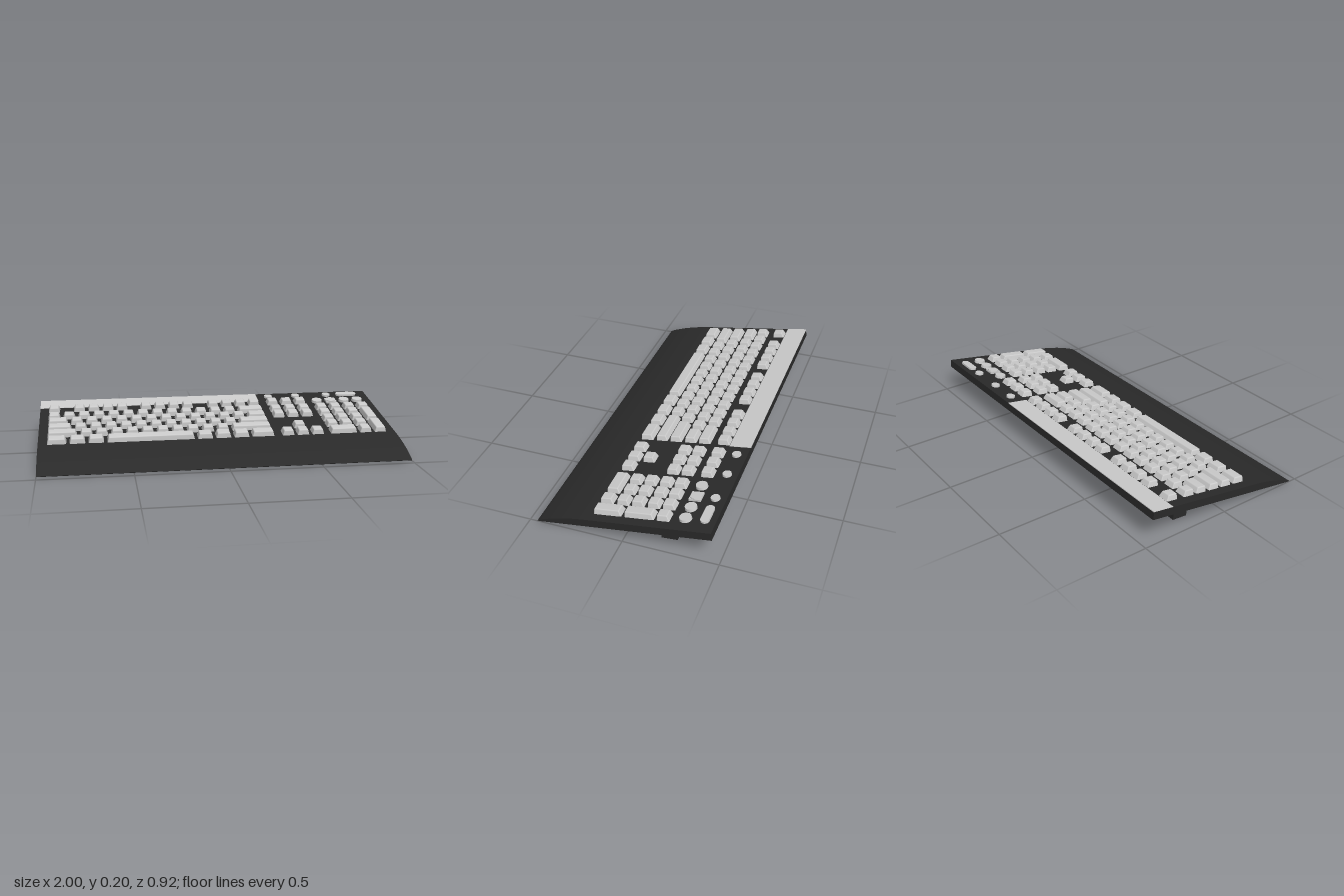
import * as THREE from 'three';
import { RoundedBoxGeometry } from 'three/addons/geometries/RoundedBoxGeometry.js';
import { mergeVertices } from 'three/addons/utils/BufferGeometryUtils.js';

const PITCH = 0.085, GAP = 0.014, KEY_H = 0.029;
const SLOPE = Math.atan(0.159);
const keyMat = new THREE.MeshStandardMaterial({ color: 0xcccccc });
const bodyMat = new THREE.MeshStandardMaterial({ color: 0x2a2a2a });

// Far and near z edges of the six key rows
const ROWS = [[-0.343, -0.272], [-0.236, -0.165], [-0.155, -0.085], [-0.071, 0], [0.011, 0.081], [0.096, 0.171]];

function add(parent, name, geometry, material, x = 0, y = 0, z = 0) {
  const mesh = new THREE.Mesh(geometry, material);
  mesh.name = name;
  mesh.position.set(x, y, z);
  parent.add(mesh);
  return mesh;
}

// Keycap: rounded box narrowed towards its top, most of all at the back
function keycapGeometry(w, d) {
  const box = new RoundedBoxGeometry(w, KEY_H + 0.008, d, 2, 0.006);
  box.deleteAttribute('uv');
  box.deleteAttribute('normal');
  const geo = mergeVertices(box, 1e-5);
  const p = geo.attributes.position;
  for (let i = 0; i < p.count; i++) {
    const t = p.getY(i) / (KEY_H + 0.008) + 0.5;
    const z = p.getZ(i);
    p.setX(i, p.getX(i) * (1 - t * 0.02 / w));
    p.setZ(i, z + t * (z > 0 ? -0.005 : 0.015) * Math.abs(2 * z / d));
  }
  geo.computeVertexNormals();
  return geo;
}

function addKey(parent, name, x0, x1, z0, z1) {
  add(parent, name, keycapGeometry(x1 - x0, z1 - z0), keyMat,
    (x0 + x1) / 2, KEY_H / 2 - 0.004, (z0 + z1) / 2);
}

// A run of keys, with widths given in key pitches
function addRun(parent, name, start, row, widths, pitch = PITCH) {
  let x = start;
  for (const w of widths) {
    addKey(parent, name, x, x + w * pitch - GAP, ...ROWS[row]);
    x += w * pitch;
  }
}

const ones = (n) => Array(n).fill(1);

export function createModel() {
  const model = new THREE.Group();
  model.name = 'keyboard';

  // Wedge body with a curved palm rest at the front
  const profile = new THREE.Shape();
  profile.moveTo(0.455, 0.001);
  profile.lineTo(0.46, 0.004);
  profile.splineThru([[0.45, 0.011], [0.42, 0.024], [0.35, 0.049], [0.262, 0.072], [0.18, 0.087]]
    .map(([z, y]) => new THREE.Vector2(z, y)));
  profile.lineTo(-0.455, 0.188);
  profile.lineTo(-0.46, 0.145);
  const body = new THREE.ExtrudeGeometry(profile, { depth: 2, bevelEnabled: false, curveSegments: 4 });
  body.translate(0, 0, -1).rotateY(-Math.PI / 2);
  add(model, 'body', body, bodyMat);

  // Tilt feet
  for (const side of [-1, 1]) {
    const foot = add(model, 'foot', new THREE.BoxGeometry(0.06, 0.115, 0.085), bodyMat, side * 0.88, 0.061, -0.211);
    foot.rotation.x = 0.085;
  }

  // Everything on the sloping deck shares one tilted frame
  const deck = new THREE.Group();
  deck.name = 'deck';
  deck.position.y = 0.1156;
  deck.rotation.x = SLOPE;
  model.add(deck);

  add(deck, 'backPanel', new THREE.BoxGeometry(1.308, 0.004, 0.118), keyMat, -0.346, 0, -0.402);

  // Main block
  const main = new THREE.Group();
  main.name = 'mainKeys';
  deck.add(main);
  addRun(main, 'functionKey', -0.952, 0, [1], 0.083);
  for (const x of [-0.807, -0.417, -0.016]) addRun(main, 'functionKey', x, 0, ones(4), 0.083);
  [
    [...ones(13), 1.94],
    [1.5, ...ones(12), 1.44],
    [1.75, ...ones(11), 2.19],
    [2.1, ...ones(10), 2.84],
    [1.42, 1.2, 1.2, 5.85, 1.2, 1.2, 1.2, 1.67],
  ].forEach((widths, i) => addRun(main, 'mainKey', -0.952, i + 1, widths));

  // Navigation block and arrows
  const nav = new THREE.Group();
  nav.name = 'navigationKeys';
  deck.add(nav);
  for (const row of [0, 1, 2, 5]) addRun(nav, 'navigationKey', 0.348, row, ones(3));
  addRun(nav, 'upArrowKey', 0.348 + PITCH, 4, [1]);

  // Number pad, with two tall keys at its right edge
  const pad = new THREE.Group();
  pad.name = 'numberPad';
  deck.add(pad);
  const padX = 0.626, tallX = padX + 3 * PITCH;
  [ones(4), ones(3), ones(3), ones(3), [2, 1]]
    .forEach((widths, i) => addRun(pad, 'numberKey', padX, i + 1, widths));
  addKey(pad, 'tallKey', tallX, tallX + PITCH - GAP, ROWS[2][0], ROWS[3][1] + 0.006);
  addKey(pad, 'tallKey', tallX, tallX + PITCH - GAP, ROWS[4][0] + 0.007, ROWS[5][1]);

  // Round buttons above the number pad, the second on a square base
  const buttons = new THREE.Group();
  buttons.name = 'mediaButtons';
  deck.add(buttons);
  const round = (r, h) => new THREE.CylinderGeometry(r * 0.94, r, h, 32);
  [0.663, 0.749, 0.833, 0.915].forEach((x) => add(buttons, 'roundButton', round(0.032, 0.016), keyMat, x, 0.007, -0.306));
  add(buttons, 'squareBase', new THREE.BoxGeometry(0.064, 0.012, 0.064), keyMat, 0.749, 0.005, -0.306);

  // Small buttons and the pill-shaped one along the back edge
  for (const x of [0.379, 0.55, 0.745]) add(buttons, 'smallButton', round(0.025, 0.012), keyMat, x, 0.005, -0.404);
  const pill = new THREE.Shape();
  pill.absarc(0.041, 0, 0.023, -Math.PI / 2, Math.PI / 2);
  pill.absarc(-0.041, 0, 0.023, Math.PI / 2, Math.PI * 1.5);
  const pillGeo = new THREE.ExtrudeGeometry(pill, { depth: 0.012, bevelEnabled: false });
  pillGeo.rotateX(-Math.PI / 2);
  add(buttons, 'pillButton', pillGeo, keyMat, 0.872, -0.001, -0.404);

  return model;
}
